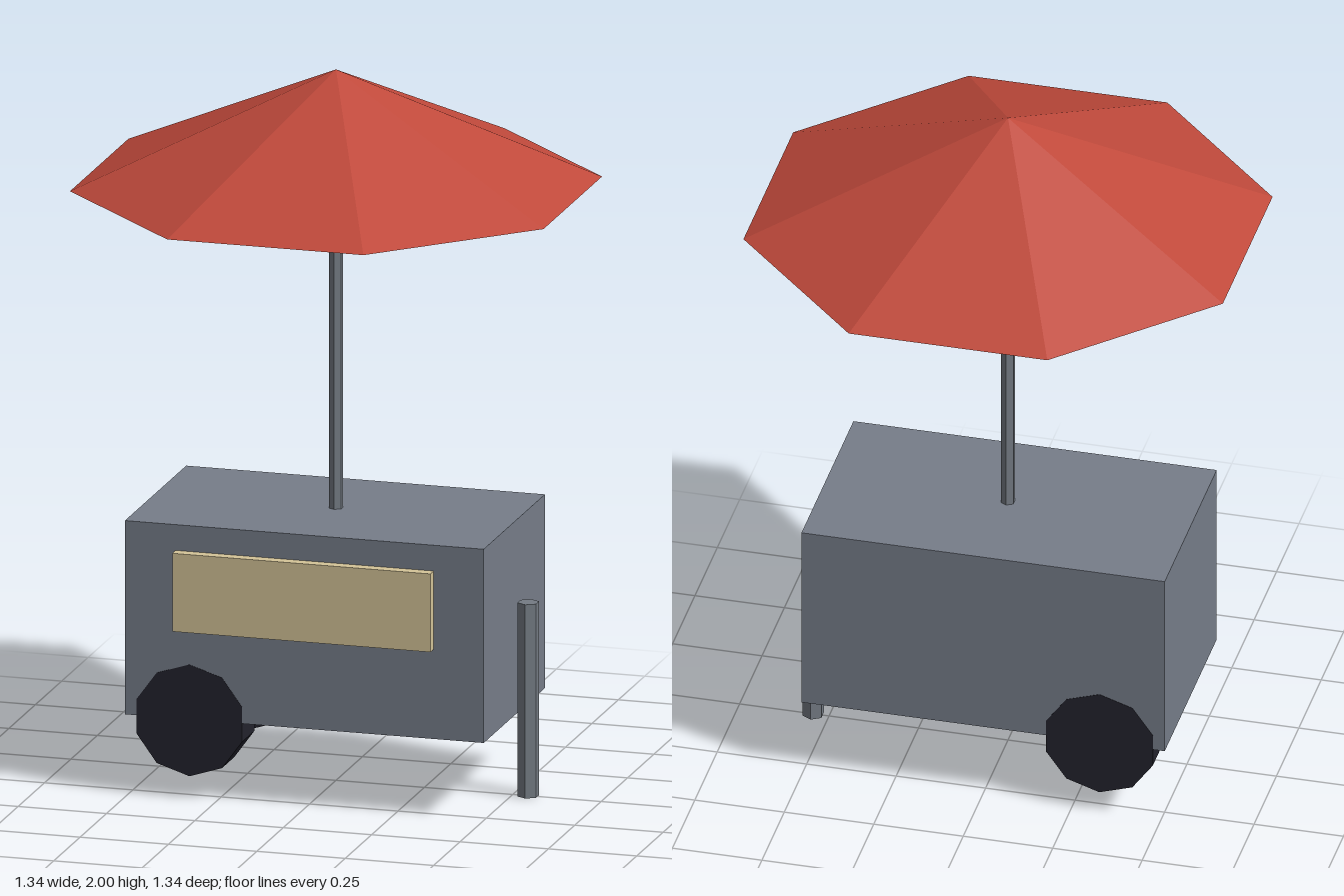
import * as THREE from 'three';

const material = (name, color) => {
  const m = new THREE.MeshStandardMaterial({ color, flatShading: true });
  m.name = name;
  return m;
};

export function createModel() {
  const group = new THREE.Group();
  group.name = 'vendorCart';

  const slate = material('slate grey', 0x767d89);
  const steel = material('steel grey', 0x747b83);
  const red = material('canopy red', 0xc0493b);
  const cream = material('cream', 0xd4c498);
  const rubber = material('rubber black', 0x23232d);

  const add = (name, geometry, mat, x, y, z) => {
    const mesh = new THREE.Mesh(geometry, mat);
    mesh.name = name;
    mesh.position.set(x, y, z);
    group.add(mesh);
    return mesh;
  };

  // Cart box with a raised panel on the front
  add('body', new THREE.BoxGeometry(1.015, 0.545, 0.58), slate, -0.003, 0.495, 0);
  add('frontPanel', new THREE.BoxGeometry(0.73, 0.22, 0.032), cream, -0.002, 0.585, 0.305);

  // Hexagonal pole and eight-sided umbrella
  add('pole', new THREE.CylinderGeometry(0.02, 0.02, 0.93, 6), steel, 0, 1.225, 0);
  add('umbrella', new THREE.ConeGeometry(0.725, 0.322, 8).rotateY(Math.PI / 8), red, 0, 1.839, 0);

  // Ten-sided wheels, a vertex at top and bottom
  for (const side of [1, -1]) {
    const wheel = new THREE.CylinderGeometry(0.157, 0.157, 0.116, 10).rotateX(Math.PI / 2);
    add(side > 0 ? 'frontWheel' : 'backWheel', wheel, rubber, -0.328, 0.22, side * 0.233);
  }

  // Prop leg beside the box
  add('propLeg', new THREE.CylinderGeometry(0.03, 0.03, 0.545, 6), steel, 0.544, 0.2725, 0);

  return group;
}
